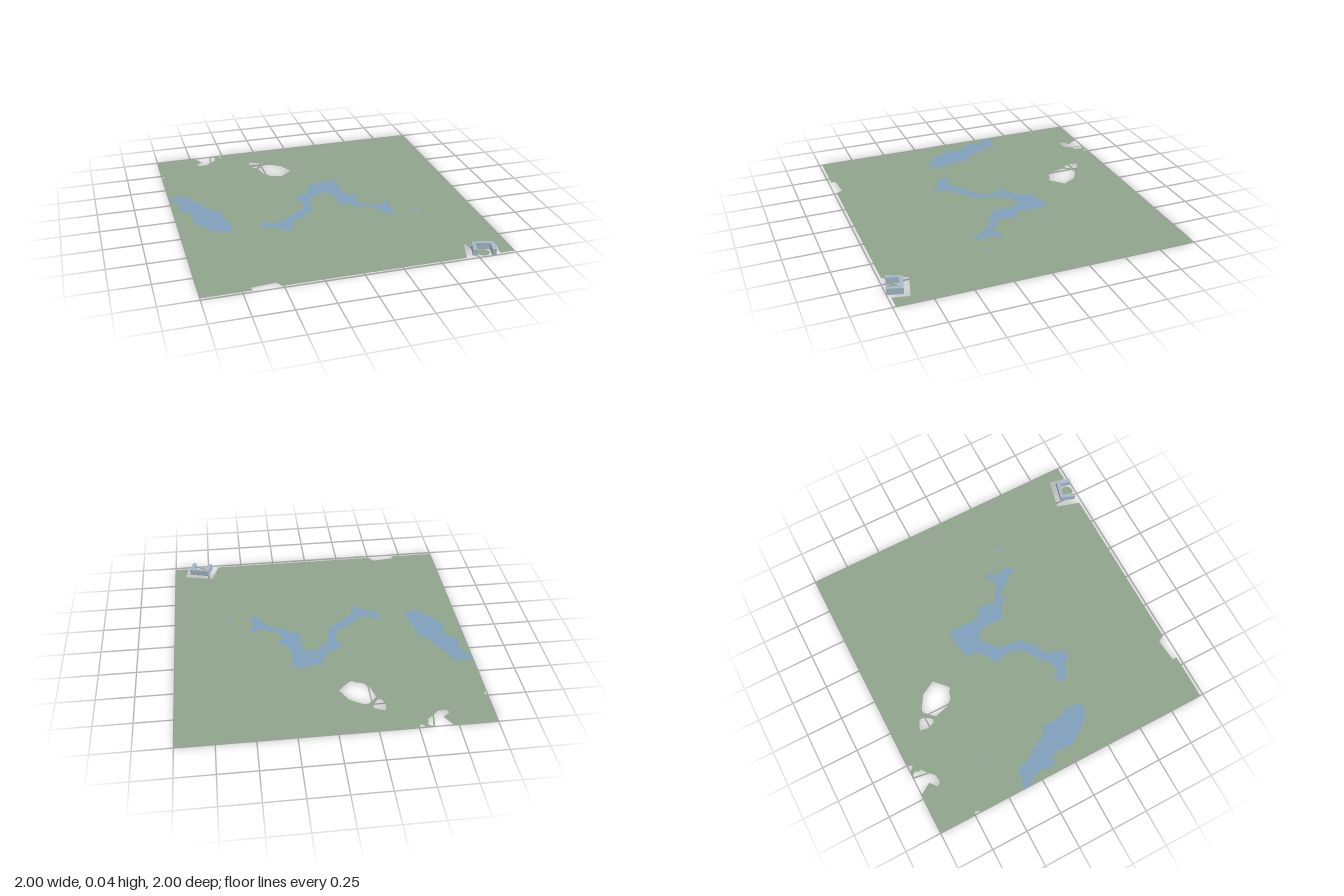
import * as THREE from 'three';

const material = (color) => new THREE.MeshStandardMaterial({ color, side: THREE.DoubleSide, flatShading: true });
const GRASS = material(0x8fa38b);
const WATER = material(0x7f9fba);
const PAVING = material(0x999caa);
const WALL = material(0xa5b8c8);

// Flat list x, z, x, z, ... to plan points (plan y is -z, so that laying it flat restores z)
function plan(list) {
  const points = [];
  for (let i = 0; i < list.length; i += 2) points.push(new THREE.Vector2(list[i], -list[i + 1]));
  return points;
}

// Lays a plan shape on the ground, with optional holes and height
function lay(name, list, mat, holes = [], height = 0) {
  const shape = new THREE.Shape(plan(list));
  shape.holes = holes.map((h) => new THREE.Path(plan(h)));
  const geometry = height
    ? new THREE.ExtrudeGeometry(shape, { depth: height, bevelEnabled: false })
    : new THREE.ShapeGeometry(shape);
  geometry.rotateX(-Math.PI / 2);
  const mesh = new THREE.Mesh(geometry, mat);
  mesh.name = name;
  return mesh;
}

// Lake against the left edge, first and last points on that edge
const lake = [
  -1, -0.385, -0.94, -0.37, -0.865, -0.36, -0.85, -0.295, -0.78, -0.175, -0.74, -0.1, -0.685, -0.07,
  -0.68, 0.055, -0.645, 0.135, -0.66, 0.215, -0.695, 0.24, -0.77, 0.2, -0.825, 0.135, -0.89, 0.04,
  -0.875, -0.055, -0.9, -0.12, -0.96, -0.13, -0.94, -0.24, -0.98, -0.33, -1, -0.32,
];

// Winding river: north bank eastwards, then south bank back
const river = [
  -0.46, 0.175, -0.405, 0.17, -0.385, 0.205, -0.31, 0.19, -0.245, 0.125, -0.17, 0.08, -0.12, 0.035,
  -0.11, -0.055, -0.14, -0.115, -0.12, -0.155, -0.05, -0.175, -0.005, -0.24, -0.005, -0.295,
  0.11, -0.325, 0.21, -0.33, 0.215, -0.24, 0.21, -0.135, 0.235, -0.08, 0.285, -0.07, 0.26, 0.055,
  0.3, 0.08, 0.405, 0.145, 0.415, 0.12, 0.475, 0.095, 0.475, 0.135, 0.445, 0.175, 0.47, 0.275,
  0.42, 0.295, 0.38, 0.215, 0.3, 0.12, 0.255, 0.135, 0.205, 0.08, 0.13, 0.055, 0.135, -0.08,
  0.11, -0.15, 0.045, -0.155, -0.01, -0.11, -0.055, -0.055, -0.07, 0.08, -0.17, 0.17, -0.235, 0.2,
  -0.29, 0.33, -0.34, 0.31, -0.355, 0.28, -0.43, 0.25, -0.46, 0.23,
];

const pavedPatches = [
  [0.59, 0.245, 0.645, 0.27, 0.61, 0.305],
  [-0.71, -0.56, -0.685, -0.55, -0.695, -0.52],
];

// Openings inside the ground
const openings = [
  [-0.325, -0.82, -0.235, -0.78, -0.295, -0.705, -0.32, -0.715, -0.335, -0.765],
  [-0.215, -0.755, -0.11, -0.69, -0.055, -0.59, -0.15, -0.5, -0.175, -0.525, -0.22, -0.535, -0.26, -0.58, -0.285, -0.68],
  [-0.59, -0.99, -0.605, -0.9, -0.565, -0.93, -0.57, -0.95, -0.56, -0.97, -0.575, -0.99],
];

// Ground outline, broken by notches along its edges
const backNotches = [
  -0.72, -1, -0.67, -0.92, -0.72, -0.88, -0.7, -0.855, -0.645, -0.86, -0.615, -0.89, -0.6, -1,
  -0.545, -1, -0.52, -0.965, -0.495, -1,
];
const courtNotch = [0.9, 0.98, 0.925, 0.87, 0.725, 0.82, 0.675, 0.98];
const frontNotch = [-0.51, 0.98, -0.535, 0.935, -0.58, 0.94, -0.69, 0.95, -0.69, 0.98];
const leftNotch = [-1, -0.7, -0.985, -0.72, -0.98, -0.74, -1, -0.75];
const lakeReversed = [];
for (let i = lake.length - 2; i >= 0; i -= 2) lakeReversed.push(lake[i], lake[i + 1]);
const outline = [
  -1, -1, ...backNotches, 1, -1, 1, 0.98, ...courtNotch, ...frontNotch, -1, 0.98, ...lakeReversed, ...leftNotch,
];

export function createModel() {
  const model = new THREE.Group();
  model.name = 'parkland';

  model.add(lay('ground', outline, GRASS, [river, ...pavedPatches, ...openings]));
  model.add(lay('lake', lake, WATER));
  model.add(lay('river', river, WATER));
  for (const patch of pavedPatches) model.add(lay('pavedPatch', patch, PAVING));

  // U-shaped building open to the front
  const building = [
    0.755, 0.865, 0.89, 0.9, 0.865, 1, 0.84, 0.993, 0.86, 0.917, 0.768, 0.893, 0.747, 0.972, 0.72, 0.965,
  ];
  model.add(lay('building', building, WALL, [], 0.043));

  // Small round lawn in its courtyard
  const lawn = new THREE.Mesh(new THREE.CircleGeometry(0.042, 10).rotateX(-Math.PI / 2), GRASS);
  lawn.name = 'courtyardLawn';
  lawn.position.set(0.8, 0, 0.945);
  model.add(lawn);

  return model;
}
